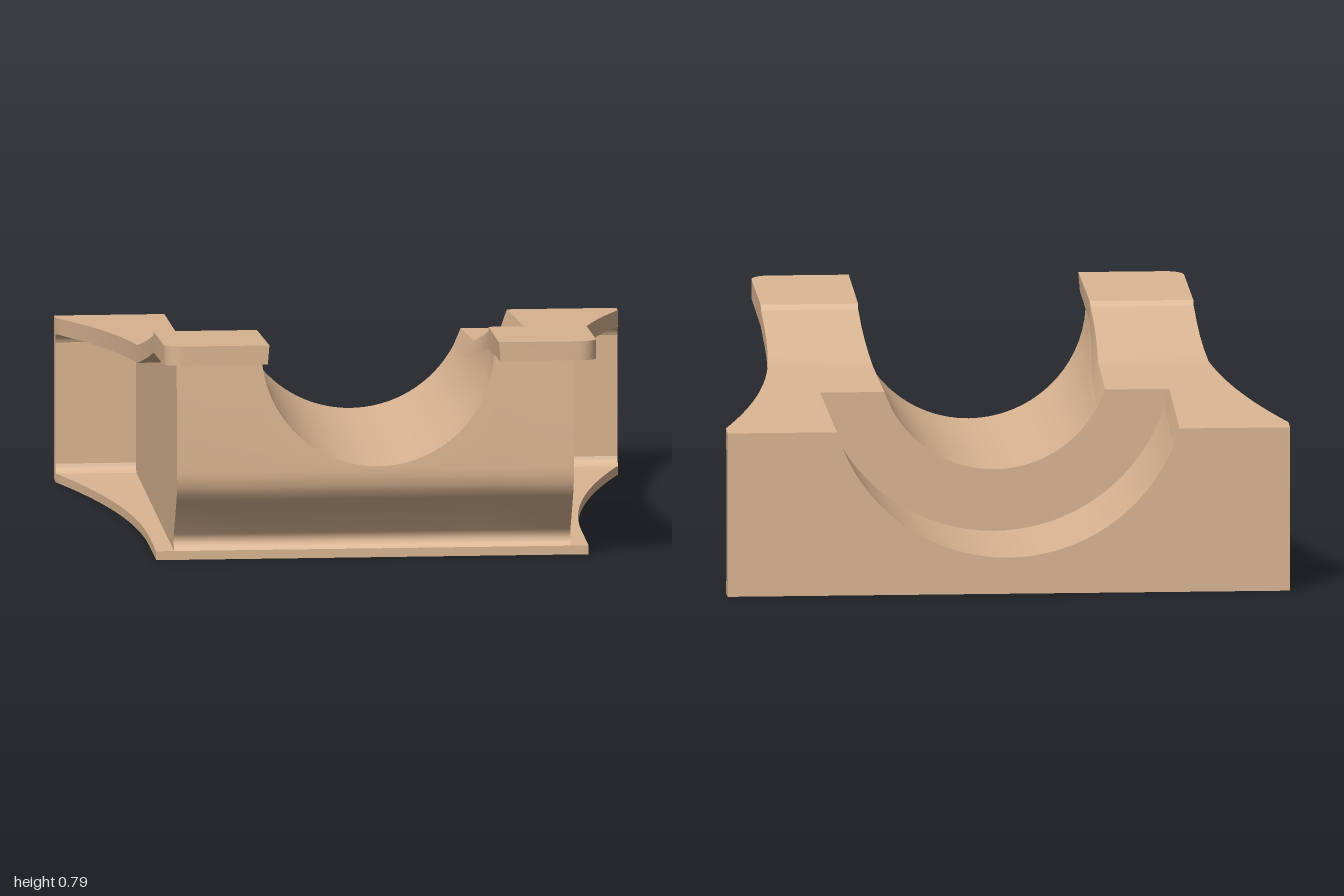
import * as THREE from 'three';
import { toCreasedNormals } from 'three/addons/utils/BufferGeometryUtils.js';

const material = new THREE.MeshStandardMaterial({ color: 0xdab592, side: THREE.DoubleSide });

// Groove axis height, the two bore radii and where they meet
const AXIS = 0.72, R_BACK = 0.598, R_FRONT = 0.39, STEP = -0.39;
const CORE = { right: -0.675, left: 0.655 };
const WALL = -0.94, FLOOR = 0.03;

// Piecewise-linear lookup in a list of [key, value]
function lookup(table, k) {
  for (let i = 1; i < table.length; i++) {
    const [a, u] = table[i - 1], [b, v] = table[i];
    if (k <= b || i === table.length - 1) return u + (v - u) * (k - a) / (b - a);
  }
}
const TOP = [[-1, 0.552], [0.03, 0.625], [0.515, 0.74], [0.53, 0.757], [1, 0.785]];
const UNDER = [[-1, 0.497], [0.03, 0.565], [0.53, 0.685], [1, 0.72]];
// Front of the core as [y, z]
const FRONT = [[0.03, 0.64], [0.04, 0.627], [0.055, 0.619], [0.07, 0.619], [0.085, 0.627],
  [0.215, 0.735], [0.24, 0.753], [0.265, 0.763], [0.295, 0.768], [0.32, 0.768], [0.7, 0.742]];
const top = z => lookup(TOP, z);
const under = z => lookup(UNDER, z);
const frontZ = y => lookup(FRONT, y);

// Outer edge: straight at the back, curving in, parallel at the front
function outer(side, z) {
  const [wide, narrow] = side > 0 ? [0.94, 0.715] : [0.945, 0.735];
  const t = THREE.MathUtils.clamp((0.35 - z) / 1.27, 0, 1);
  let w = narrow + (wide - narrow) * t * t;
  if (z > 0.94) w -= 0.06 - Math.sqrt(Math.max(0, 0.0036 - (z - 0.94) ** 2));
  return side * w;
}

// Points of a bore below height yMax
function arc(r, yMax, n = 32) {
  const m = Math.acos((AXIS - yMax) / r);
  return Array.from({ length: n + 1 }, (_, i) => {
    const t = m * (2 * i / n - 1);
    return [r * Math.sin(t), AXIS - r * Math.cos(t)];
  });
}

// Skin over rows of points
function skin(rows) {
  const n = rows[0].length, index = [];
  for (let i = 0; i < rows.length - 1; i++) {
    for (let j = 0; j < n - 1; j++) {
      const a = i * n + j, b = a + n;
      index.push(a, a + 1, b, b, a + 1, b + 1);
    }
  }
  const g = new THREE.BufferGeometry();
  g.setAttribute('position', new THREE.Float32BufferAttribute(rows.flat(2), 3));
  g.setIndex(index);
  return toCreasedNormals(g, 0.5);
}

const shapeOf = pts => new THREE.Shape(pts.map(p => new THREE.Vector2(...p)));
const extrude = (shape, depth) =>
  toCreasedNormals(new THREE.ExtrudeGeometry(shape, { depth, bevelEnabled: false, curveSegments: 6 }), 0.5);
const range = (a, b, n) => Array.from({ length: n + 1 }, (_, i) => a + (b - a) * i / n);

export function createModel() {
  const group = new THREE.Group();
  const add = (name, geometry) => {
    const mesh = new THREE.Mesh(geometry, material);
    mesh.name = name;
    group.add(mesh);
  };

  // Base plate with curved sides
  const baseZ = [-1, ...range(-0.92, 0.35, 20), 0.64];
  const base = extrude(shapeOf([
    ...baseZ.map(z => [outer(1, z), -z]),
    ...baseZ.slice().reverse().map(z => [outer(-1, z), -z]),
  ]), FLOOR);
  add('basePlate', base.rotateX(-Math.PI / 2));

  // Back wall with the wide bore cut out of it
  const wallTop = 0.499;
  const wall = extrude(shapeOf([
    [-0.945, FLOOR], [0.94, FLOOR], [0.94, wallTop],
    ...arc(R_BACK, wallTop).reverse(), [-0.945, wallTop],
  ]), 0.06);
  add('backWall', wall.translate(0, 0, -1));

  // Grooves: wide at the back, a flat step, narrow to the front
  add('wideGroove', skin([WALL, STEP].map(z => arc(R_BACK, under(z)).map(([x, y]) => [x, y, z]))));
  add('grooveStep', skin([R_BACK, R_FRONT].map(r => arc(r, under(STEP)).map(([x, y]) => [x, y, STEP]))));
  const rim = arc(R_FRONT, 0.7);
  add('narrowGroove', skin([
    ...[STEP, 0.03, 0.53].map(z => arc(R_FRONT, under(z)).map(([x, y]) => [x, y, z])),
    rim.map(([x, y]) => [x, y, frontZ(y)]),
  ]));

  // Core front: contoured in height, cut by the narrow groove
  const columns = [[CORE.right, 0.7], [rim[0][0], 0.7], ...rim, [rim.at(-1)[0], 0.7], [CORE.left, 0.7]];
  add('coreFront', skin(columns.map(([x, h]) =>
    [...FRONT.slice(0, -1).map(p => p[0]), h].map(y => [x, y, frontZ(y)]))));

  // Core sides and the rounded back corners of the side pockets
  const sideProfile = shapeOf([
    [WALL, FLOOR], ...FRONT.map(([y, z]) => [z, y]),
    [0.53, 0.685], [0.03, 0.565], [WALL, under(WALL)],
  ]);
  for (const side of [1, -1]) {
    const label = side > 0 ? 'left' : 'right';
    const inner = CORE[label];
    const wide = outer(side, -1);
    add(label + 'CoreSide', new THREE.ShapeGeometry(sideProfile).rotateY(-Math.PI / 2).translate(inner, 0, 0));

    for (const [where, y, dir] of [['Lower', FLOOR, 1], ['Upper', under(WALL), -1]]) {
      const r = 0.03;
      const fillet = new THREE.Shape();
      fillet.moveTo(WALL, y);
      fillet.lineTo(WALL + r, y + (dir < 0 ? 0.002 : 0));
      fillet.quadraticCurveTo(WALL + r * 0.2, y + dir * r * 0.2, WALL, y + dir * r);
      const g = extrude(fillet, Math.abs(wide - inner)).rotateY(-Math.PI / 2);
      add(label + where + 'PocketFillet', g.translate(Math.max(wide, inner), 0, 0));
    }

    // Top rail: sloping plate that runs past the core as a tongue
    const stations = [
      ...[-1, ...range(-0.92, STEP, 9)].map(z => [z, R_BACK]),
      ...[...range(STEP, 0.03, 8), 0.14, 0.25, 0.35, 0.515, 0.53, 0.94,
        ...range(0, Math.PI / 2, 8).slice(1).map(a => 0.94 + 0.06 * Math.sin(a))].map(z => [z, R_FRONT]),
    ];
    const rows = stations.map(([z, r]) => {
      const hi = top(z), lo = under(z), x = outer(side, z);
      const bore = y => side * Math.sqrt(r * r - (y - AXIS) ** 2);
      return [[x, hi, z], [bore(hi), hi, z], [bore(lo), lo, z], [x, lo, z], [x, hi, z]];
    });
    // Close both ends by collapsing them to their middle
    const cap = row => row.map(() => [0, 1, 2].map(k => (row[0][k] + row[2][k]) / 2));
    add(label + 'TopRail', skin([cap(rows[0]), ...rows, cap(rows.at(-1))]));
  }
  return group;
}
